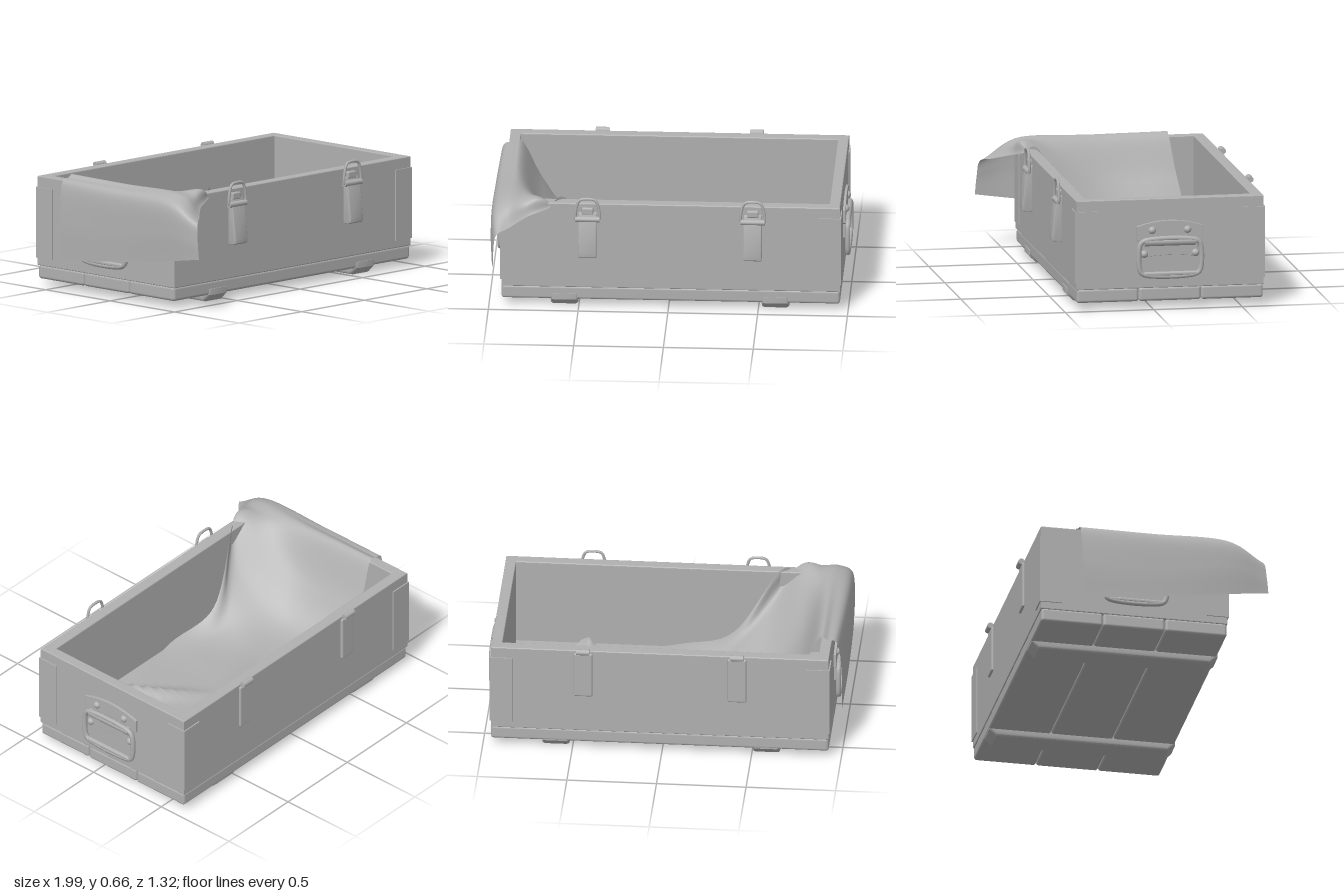
import * as THREE from 'three';
import { RoundedBoxGeometry } from 'three/addons/geometries/RoundedBoxGeometry.js';
import { toCreasedNormals } from 'three/addons/utils/BufferGeometryUtils.js';

const CX = 0.0125, CZ = -0.1, W = 1.885, D = 1.06; // crate centre and footprint

export function createModel() {
  const root = new THREE.Group();
  const grey = new THREE.MeshStandardMaterial({ color: 0xb0b0b0 });
  grey.name = 'plain grey';
  grey.side = THREE.DoubleSide;

  const add = (parent, name, geo, x = 0, y = 0, z = 0) => {
    const m = new THREE.Mesh(geo, grey);
    m.name = name;
    m.position.set(x, y, z);
    parent.add(m);
    return m;
  };
  const group = (name, x = 0, y = 0, z = 0, turn = 0) => {
    const g = new THREE.Group();
    g.name = name;
    g.position.set(x, y, z);
    g.rotation.y = turn;
    root.add(g);
    return g;
  };
  const poly = pts => new THREE.Shape(pts.map(p => new THREE.Vector2(...p)));
  const rect = (w, d) => poly([[-w / 2, -d / 2], [w / 2, -d / 2], [w / 2, d / 2], [-w / 2, d / 2]]);
  const extrude = (shape, depth, bevel = 0) => new THREE.ExtrudeGeometry(shape, {
    depth, curveSegments: 16, bevelEnabled: bevel > 0, bevelSize: bevel,
    bevelThickness: bevel, bevelOffset: -bevel, bevelSegments: 3
  });
  // Profile drawn as (z, y), swept along x and centred on x = 0
  const sweepX = (pts, width, bevel) =>
    toCreasedNormals(extrude(poly(pts.map(([z, y]) => [-z, y])), width - 2 * bevel, bevel)
      .translate(0, 0, -width / 2 + bevel).rotateY(Math.PI / 2), 0.6);
  const ring = (pts, radius) => new THREE.TubeGeometry(new THREE.CatmullRomCurve3(
    pts.map(([x, y]) => new THREE.Vector3(x, y, 0)), true, 'centripetal'), 64, radius, 8, true);
  // Corner points doubled up so the bent wire keeps straight sides
  const bentFrame = (bottom, top, y0, y1, r) => [
    [-bottom + r, y0], [bottom - r, y0], [bottom, y0 + r],
    [top, y1 - r], [top - r, y1], [-top + r, y1], [-top, y1 - r], [-bottom, y0 + r]];

  // Crate walls, open at the top
  const outline = rect(W, D);
  outline.holes.push(rect(W - 0.12, D - 0.13));
  add(root, 'crateWalls', extrude(outline, 0.5, 0.006).rotateX(-Math.PI / 2), CX, 0.12, CZ)
    .scale.y = 0.5 / 0.506;

  // Three floor planks
  for (let i = -1; i <= 1; i++)
    add(root, 'floorPlank', new RoundedBoxGeometry(W, 0.08, 0.35, 3, 0.016), CX, 0.08, CZ + i * 0.352);

  // Runners with chamfered ends
  const runner = [[-0.625, 0.075], [-0.625, 0.04], [-0.585, 0], [0.39, 0], [0.432, 0.04], [0.432, 0.075]];
  for (const x of [-0.58, 0.595]) add(root, 'runner', sweepX(runner, 0.155, 0.018), x);

  // Wrapped plates on the four corners
  for (const sx of [-1, 1]) for (const sz of [-1, 1]) {
    const x = CX + sx * W / 2, z = CZ + sz * D / 2;
    add(root, 'cornerPlate', new THREE.BoxGeometry(0.13, 0.4, 0.014), x - sx * 0.058, 0.357, z);
    add(root, 'cornerPlate', new THREE.BoxGeometry(0.014, 0.4, 0.125), x, 0.357, z - sz * 0.0555);
  }

  // Front latches: lever, catch and wire loop
  const lever = [[0.43, 0.57], [0.447, 0.565], [0.468, 0.5], [0.487, 0.345],
    [0.485, 0.318], [0.474, 0.31], [0.43, 0.31]];
  for (const x of [-0.45, 0.47]) {
    const g = group('frontLatch', x);
    add(g, 'latchLever', sweepX(lever, 0.1, 0.004));
    add(g, 'latchCatch', new RoundedBoxGeometry(0.065, 0.04, 0.025, 2, 0.008), 0, 0.58, 0.44);
    add(g, 'latchPivot', new THREE.CylinderGeometry(0.016, 0.016, 0.135, 12).rotateZ(Math.PI / 2), 0, 0.535, 0.452);
    add(g, 'latchLoop', ring(bentFrame(0.066, 0.052, 0.525, 0.652, 0.016), 0.008), 0, 0, 0.452);
  }

  // Back hinges
  for (const x of [-0.42, 0.44]) {
    const g = group('backHinge', x);
    add(g, 'hingePlate', new RoundedBoxGeometry(0.105, 0.27, 0.024, 2, 0.01), 0, 0.47, -0.63);
    add(g, 'hingeKnuckle', new THREE.CylinderGeometry(0.017, 0.017, 0.075, 14).rotateZ(Math.PI / 2), 0, 0.618, -0.643);
  }

  // End handles: arched plate, rivets, barrel and bail
  const plate = poly([[-0.155, 0.29], [-0.155, 0.37], [-0.187, 0.39], [-0.187, 0.465]]);
  plate.quadraticCurveTo(0, 0.53, 0.187, 0.465);
  plate.lineTo(0.187, 0.39);
  plate.lineTo(0.155, 0.37);
  plate.lineTo(0.155, 0.29);
  plate.quadraticCurveTo(0, 0.312, -0.155, 0.29);
  for (const s of [-1, 1]) {
    const g = group(s > 0 ? 'rightEndHandle' : 'leftEndHandle', CX + s * W / 2, 0, -0.097, s * Math.PI / 2);
    add(g, 'handlePlate', extrude(plate, 0.012, 0.002));
    add(g, 'handleBarrel', new THREE.CylinderGeometry(0.024, 0.024, 0.29, 16).rotateZ(Math.PI / 2), 0, 0.378, 0.016);
    add(g, 'handleBail', ring(bentFrame(0.17, 0.17, 0.195, 0.385, 0.022), 0.014), 0, 0, 0.026);
    add(g, 'handleGrip', new RoundedBoxGeometry(0.3, 0.024, 0.026, 3, 0.01), 0, 0.198, 0.026);
    for (const [x, y] of [[-0.1, 0.443], [0.1, 0.443], [-0.145, 0.31], [0.145, 0.31]]) {
      const rivet = new THREE.SphereGeometry(0.022, 14, 6, 0, Math.PI * 2, 0, Math.PI / 2);
      add(g, 'rivet', rivet.rotateX(Math.PI / 2), x, y, 0.01);
    }
  }

  // Cloth draped over the left end: rows run from the outer hem to the floor, each from back to front
  const rows = [
    [-0.985, 0.18, -0.40, -0.99, 0.22, 0, -0.985, 0.275, 0.42, -0.965, 0.31, 0.655],
    [-0.985, 0.4, -0.40, -0.99, 0.4, 0, -0.99, 0.45, 0.43, -0.965, 0.41, 0.645],
    [-0.965, 0.6, -0.41, -0.975, 0.59, 0, -0.975, 0.59, 0.42, -0.95, 0.5, 0.63],
    [-0.91, 0.632, -0.415, -0.91, 0.632, 0, -0.9, 0.637, 0.42, -0.88, 0.525, 0.575],
    [-0.85, 0.63, -0.42, -0.84, 0.625, 0, -0.82, 0.638, 0.41, -0.78, 0.56, 0.49],
    [-0.74, 0.4, -0.45, -0.72, 0.42, 0, -0.70, 0.632, 0.39, -0.67, 0.59, 0.44],
    [-0.6, 0.22, -0.49, -0.53, 0.22, -0.05, -0.53, 0.42, 0.3, -0.57, 0.62, 0.36],
    [-0.3, 0.18, -0.55, -0.28, 0.16, -0.08, -0.3, 0.19, 0.17, -0.33, 0.28, 0.275],
    [0.05, 0.18, -0.555, 0, 0.15, -0.1, -0.02, 0.14, 0.2, -0.05, 0.15, 0.352],
    [0.37, 0.18, -0.56, 0.35, 0.15, -0.13, 0.35, 0.14, 0.14, 0.36, 0.14, 0.265],
    [0.685, 0.17, -0.555, 0.72, 0.14, -0.15, 0.745, 0.135, 0.13, 0.755, 0.14, 0.285]
  ];
  const spline = pts => new THREE.CatmullRomCurve3(pts, false, 'catmullrom', 0.5);
  const lengthwise = [0, 3, 6, 9].map(k =>
    spline(rows.map(r => new THREE.Vector3(r[k], r[k + 1], r[k + 2]))));
  // A crease raised along a floor line a-b, growing towards b
  const crease = (p, ax, az, bx, bz, height, width) => {
    const dx = bx - ax, dz = bz - az, len = Math.hypot(dx, dz);
    const t = ((p.x - ax) * dx + (p.z - az) * dz) / (len * len);
    const off = ((p.x - ax) * dz - (p.z - az) * dx) / len;
    return t < 0 ? 0 : height * Math.min(t, Math.max(0, 2.2 - t)) * Math.exp(-((off / width) ** 2));
  };
  const NU = 100, NV = 40, cloth = new THREE.PlaneGeometry(1, 1, NU, NV), pos = cloth.attributes.position;
  for (let i = 0; i <= NU; i++) {
    const across = spline(lengthwise.map(c => c.getPoint(i / NU)));
    for (let j = 0; j <= NV; j++) {
      const p = across.getPoint(j / NV);
      if (p.x > -0.5) {
        p.y += crease(p, 0.14, -0.2, 0.48, 0.25, 0.08, 0.035);
        p.y += crease(p, -0.42, 0.02, 0.22, -0.32, 0.05, 0.08);
        p.y = Math.max(p.y, 0.128);
      }
      pos.setXYZ(j * (NU + 1) + i, p.x, p.y, p.z);
    }
  }
  // Turn the faces so the upper side is the front
  const idx = cloth.index.array;
  const v = k => new THREE.Vector3().fromBufferAttribute(pos, idx[k]);
  const mid = 6 * (NU * (NV >> 1) + Math.floor(NU * 0.8));
  const up = v(mid + 1).sub(v(mid)).cross(v(mid + 2).sub(v(mid))).y;
  if (up < 0) for (let k = 0; k < idx.length; k += 3) [idx[k], idx[k + 1]] = [idx[k + 1], idx[k]];
  cloth.computeVertexNormals();
  add(root, 'drapedCloth', cloth);

  return root;
}
